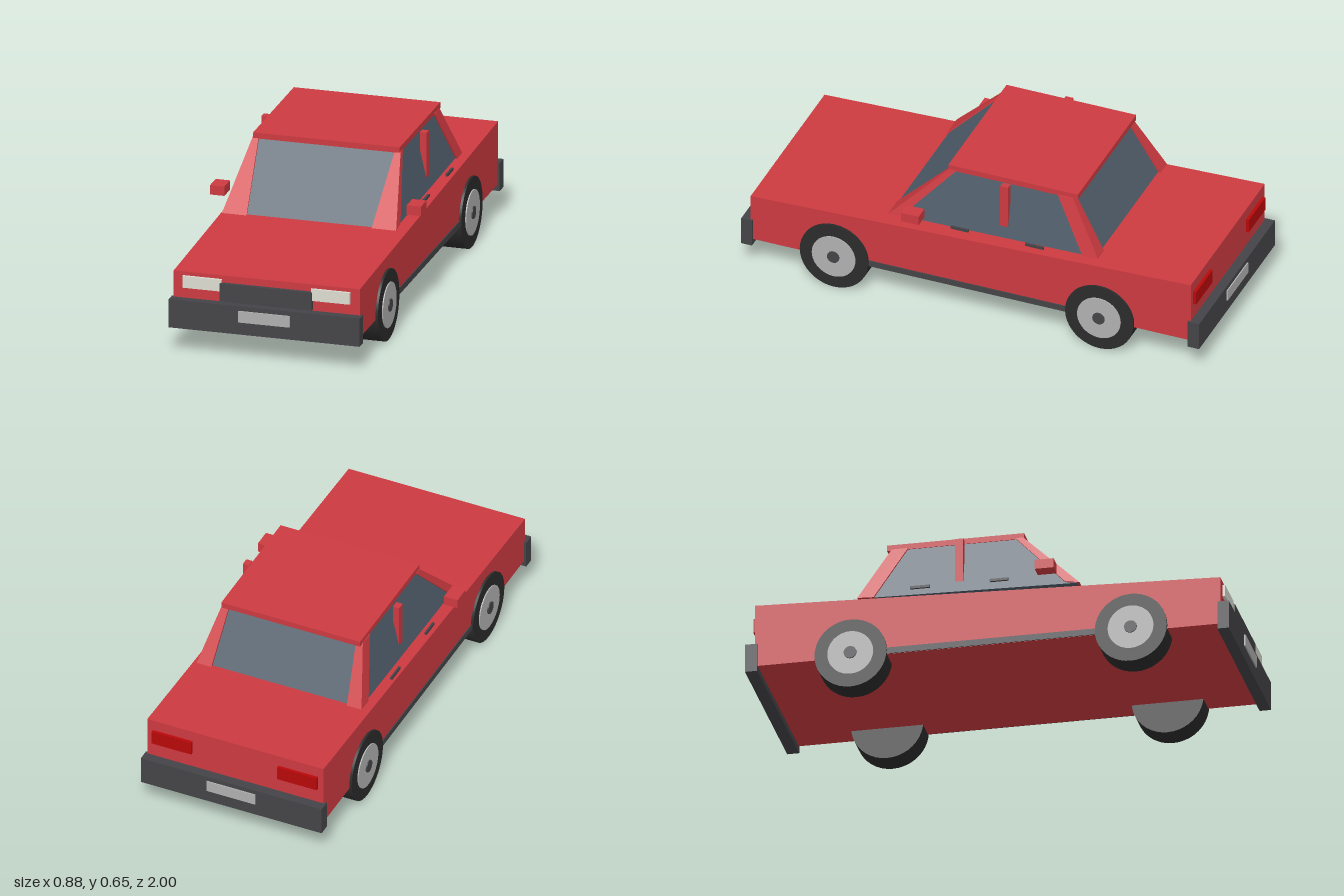
import * as THREE from 'three';

const mat = (color) => new THREE.MeshStandardMaterial({ color });
const RED = mat(0xcc3a40), DARK = mat(0x444448), GLASS = mat(0x4f5d6a), TYRE = mat(0x2b2b2b);
const METAL = mat(0xb0b0b0), LAMP = mat(0xdcdcd2), TAIL = mat(0xb80808);

export function createModel() {
  const car = new THREE.Group();
  car.name = 'car';

  const add = (name, geometry, material) => {
    const mesh = new THREE.Mesh(geometry, material);
    mesh.name = name;
    car.add(mesh);
    return mesh;
  };

  // Box given by its limits along each axis
  const block = (name, material, [x0, x1], [y0, y1], [z0, z1]) => {
    const mesh = add(name, new THREE.BoxGeometry(x1 - x0, y1 - y0, z1 - z0), material);
    mesh.position.set((x0 + x1) / 2, (y0 + y1) / 2, (z0 + z1) / 2);
    return mesh;
  };

  // Tapered block between two rectangles; y holds the heights at the back and front edge
  const taper = (name, material, bottom, top) => {
    const geometry = new THREE.BoxGeometry(1, 1, 1);
    const p = geometry.attributes.position;
    for (let i = 0; i < p.count; i++) {
      const end = p.getY(i) > 0 ? top : bottom;
      const ix = p.getX(i) > 0 ? 1 : 0, iz = p.getZ(i) > 0 ? 1 : 0;
      p.setXYZ(i, end.x[ix], end.y[iz], end.z[iz]);
    }
    geometry.computeVertexNormals();
    return add(name, geometry, material);
  };

  // Wedge-shaped body and floating cabin
  taper('body', RED,
    { x: [-0.39, 0.39], y: [0.133, 0.133], z: [-0.955, 0.953] },
    { x: [-0.39, 0.39], y: [0.4, 0.338], z: [-0.955, 0.953] });
  taper('cabinGlass', GLASS,
    { x: [-0.357, 0.357], y: [0.405, 0.387], z: [-0.53, 0.362] },
    { x: [-0.303, 0.303], y: [0.632, 0.632], z: [-0.402, 0.118] });
  block('roof', RED, [-0.307, 0.307], [0.628, 0.652], [-0.432, 0.13]);

  // Bumpers, number plates and grille
  block('frontBumper', DARK, [-0.4, 0.4], [0.107, 0.227], [0.943, 0.99]);
  block('rearBumper', DARK, [-0.4, 0.4], [0.107, 0.227], [-0.995, -0.945]);
  block('frontPlate', METAL, [-0.108, 0.108], [0.16, 0.208], [0.98, 0.996]);
  block('rearPlate', METAL, [-0.108, 0.108], [0.16, 0.208], [-1, -0.98]);
  block('grille', DARK, [-0.193, 0.193], [0.232, 0.308], [0.94, 0.97]);

  for (const s of [1, -1]) {
    const side = s > 0 ? 'left' : 'right';
    const span = (a, b) => (s > 0 ? [a, b] : [-b, -a]);

    // Windscreen, middle and rear pillars
    taper(side + 'FrontPillar', RED,
      { x: span(0.262, 0.365), y: [0.395, 0.385], z: [0.31, 0.37] },
      { x: span(0.285, 0.31), y: [0.632, 0.632], z: [0.095, 0.127] });
    block(side + 'MiddlePillar', RED, span(0.318, 0.346), [0.42, 0.635], [-0.145, -0.111]);
    taper(side + 'RearPillar', RED,
      { x: span(0.3, 0.365), y: [0.405, 0.402], z: [-0.542, -0.475] },
      { x: span(0.28, 0.31), y: [0.632, 0.632], z: [-0.412, -0.345] });

    // Lamps, mirrors, handles and sills
    block(side + 'Headlight', LAMP, span(0.188, 0.35), [0.272, 0.322], [0.94, 0.964]);
    block(side + 'TailLight', TAIL, span(0.19, 0.365), [0.294, 0.353], [-0.968, -0.945]);
    block(side + 'Mirror', RED, span(0.382, 0.442), [0.425, 0.465], [0.203, 0.28]);
    block(side + 'FrontHandle', DARK, span(0.387, 0.396), [0.41, 0.421], [0.008, 0.084]);
    block(side + 'RearHandle', DARK, span(0.387, 0.396), [0.41, 0.421], [-0.318, -0.238]);
    block(side + 'Sill', DARK, span(0.37, 0.394), [0.134, 0.16], [-0.5, 0.5]);

    // Wheels: tyre, hub and cap as nested discs
    for (const [end, z] of [['Front', 0.588], ['Rear', -0.562]]) {
      const discs = [['Tyre', 0.148, 0.295, 0.4, TYRE], ['Hub', 0.094, 0.296, 0.405, METAL], ['Cap', 0.026, 0.38, 0.41, DARK]];
      for (const [part, radius, x0, x1, material] of discs) {
        const disc = add(side + end + part, new THREE.CylinderGeometry(radius, radius, x1 - x0, 40), material);
        disc.rotation.z = Math.PI / 2;
        disc.position.set(s * (x0 + x1) / 2, 0.148, z);
      }
    }
  }
  return car;
}
